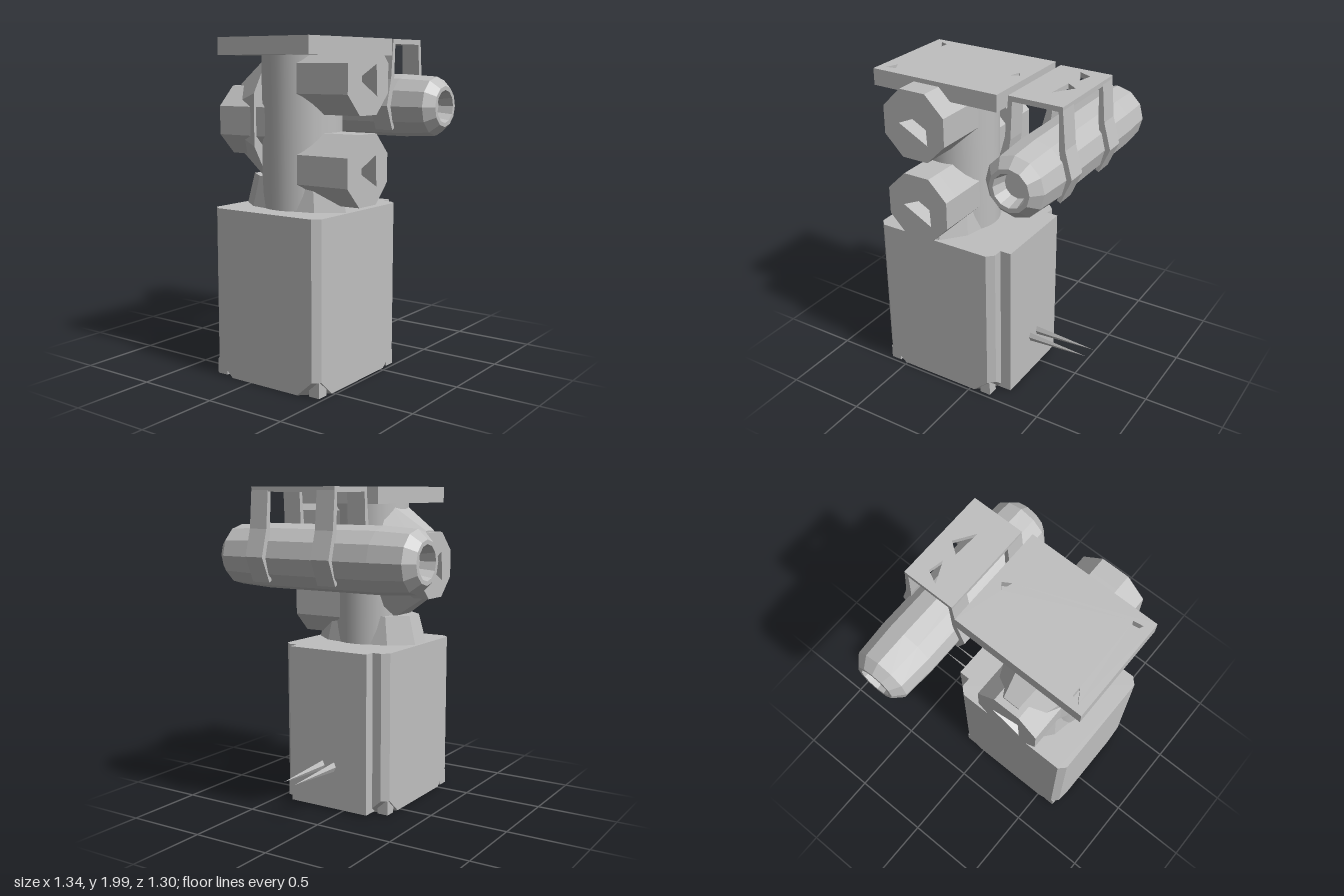
import * as THREE from 'three';
import { ConvexGeometry } from 'three/addons/geometries/ConvexGeometry.js';

const grey = new THREE.MeshStandardMaterial({ color: 0xbfbfbf });
grey.name = 'plain grey';

export function createModel() {
  const model = new THREE.Group();

  const add = (name, geo, x = 0, y = 0, z = 0) => {
    const mesh = new THREE.Mesh(geo, grey);
    mesh.name = name;
    mesh.position.set(x, y, z);
    model.add(mesh);
    return mesh;
  };
  // Faceted normals
  const facet = (geo) => {
    const g = geo.index ? geo.toNonIndexed() : geo;
    g.computeVertexNormals();
    return g;
  };
  const path = (pts) => pts.map(([x, y]) => new THREE.Vector2(x, y));
  const extrude = (pts, depth, holes = []) => {
    const s = new THREE.Shape(path(pts));
    holes.forEach((h) => s.holes.push(new THREE.Path(path(h))));
    return new THREE.ExtrudeGeometry(s, { depth, bevelEnabled: false });
  };
  const rect = (x0, z0, x1, z1) => [[x0, z0], [x1, z0], [x1, z1], [x0, z1]];
  // Flat plate in x/z whose upper face is at y = top
  const plate = (name, pts, top, thick, holes) =>
    add(name, extrude(pts, thick, holes).rotateX(Math.PI / 2), 0, top, 0);

  // Body: box with cut vertical edges and deeper cuts at the bottom corners
  const ring = (y, c) => {
    const pts = [];
    for (const sx of [-1, 1]) for (const sz of [-1, 1]) {
      const x = 0.1 + sx * 0.38, z = 0.24 + sz * 0.41;
      pts.push(new THREE.Vector3(x - sx * c, y, z), new THREE.Vector3(x, y, z - sz * c));
    }
    return pts;
  };
  add('body', new ConvexGeometry([...ring(1.02, 0.04), ...ring(0.1, 0.04), ...ring(0.01, 0.14)]));
  add('backPanel', new THREE.BoxGeometry(0.56, 1.0, 0.1), 0.1, 0.52, -0.19);
  for (const x of [-0.24, 0.44]) for (const z of [-0.11, 0.59]) {
    add('foot', new THREE.BoxGeometry(0.07, 0.09, 0.07), x, 0.055, z);
  }

  // Thin spikes on the back panel
  for (const [x, len] of [[0.055, 0.41], [0.14, 0.4]]) {
    const spike = facet(new THREE.ConeGeometry(0.03, len, 4));
    spike.scale(0.45, 1, 1).rotateX(-Math.PI / 2);
    add('backSpike', spike, x, 0.29, -0.24 - len / 2);
  }

  // Column with a widened base
  add('column', new THREE.CylinderGeometry(0.235, 0.235, 0.9, 28), 0.1, 1.46, 0.28);
  const base = facet(new THREE.CylinderGeometry(0.33, 0.38, 0.18, 10));
  add('columnBase', base.scale(1, 1, 0.6), 0.1, 1.11, 0.28);

  // Octagonal side sockets, each with a three-cornered recess
  const octagon = Array.from({ length: 8 }, (_, i) => {
    const a = (i + 0.5) * Math.PI / 4;
    return [0.22 * Math.cos(a), 0.22 * Math.sin(a)];
  });
  const recess = [[-0.1, 0], [0.09, -0.1], [0.08, 0.08]];
  const socket = (side, end, y) => {
    const turn = side * Math.PI / 2;
    const inner = Math.abs(end - 0.1) - 0.1;
    add('socketCore', extrude(octagon, inner).rotateY(turn), 0.1, y, 0.28);
    add('socketRim', extrude(octagon, 0.1, [recess]).rotateY(turn), end - side * 0.1, y, 0.28);
  };
  socket(1, 0.56, 1.77);
  socket(1, 0.56, 1.26);
  socket(-1, -0.36, 1.52);
  // Flare joining the single socket to the column
  const flare = facet(new THREE.CylinderGeometry(0.22, 0.4, 0.24, 8).rotateY(Math.PI / 8));
  add('socketFlare', flare.scale(1, 1, 0.6).rotateZ(Math.PI / 2), -0.2, 1.53, 0.28);

  // Top plate with three shallow dents
  const dents = [
    [[-0.18, 0.6], [-0.16, 0.55], [-0.1, 0.55]],
    [[0.37, 0.6], [0.3, 0.57], [0.36, 0.54]],
    [[0.06, -0.1], [0.1, -0.13], [0.13, -0.08]],
  ];
  plate('topPlate', rect(-0.22, -0.18, 0.425, 0.65), 2, 0.05, dents);
  plate('topPlateBase', rect(-0.22, -0.18, 0.425, 0.65), 1.95, 0.05);

  // Rear tube with tapered, hollow ends
  const half = [[0, 0.58], [0.08, 0.58], [0.1, 0.67], [0.125, 0.67], [0.18, 0.61], [0.193, 0.4]];
  const profile = [...half.map(([r, h]) => [r, -h]), ...half.slice().reverse()];
  const tube = facet(new THREE.LatheGeometry(path(profile), 12));
  add('rearTube', tube.rotateZ(-Math.PI / 2), 0, 1.595, -0.405);

  // Handle: perforated top plate on two straps that grip the tube
  plate('handleTop', rect(-0.18, -0.565, 0.4, -0.235), 2, 0.03, [
    [[-0.13, -0.39], [-0.09, -0.47], [0.0, -0.45]],
    [[0.07, -0.42], [0.12, -0.49], [0.24, -0.41]],
  ]);
  const leg = [[0.165, 1.98], [0.14, 1.98], [0.15, 1.75], [0.17, 1.62],
    [0.145, 1.46], [0.165, 1.45], [0.23, 1.6], [0.185, 1.76]];
  for (const x of [-0.06, 0.4]) for (const side of [-1, 1]) {
    const pts = leg.map(([z, y]) => [side * z, y]);
    add('handleStrap', extrude(pts, 0.12).rotateY(-Math.PI / 2), x, 0, -0.4);
  }

  return model;
}
